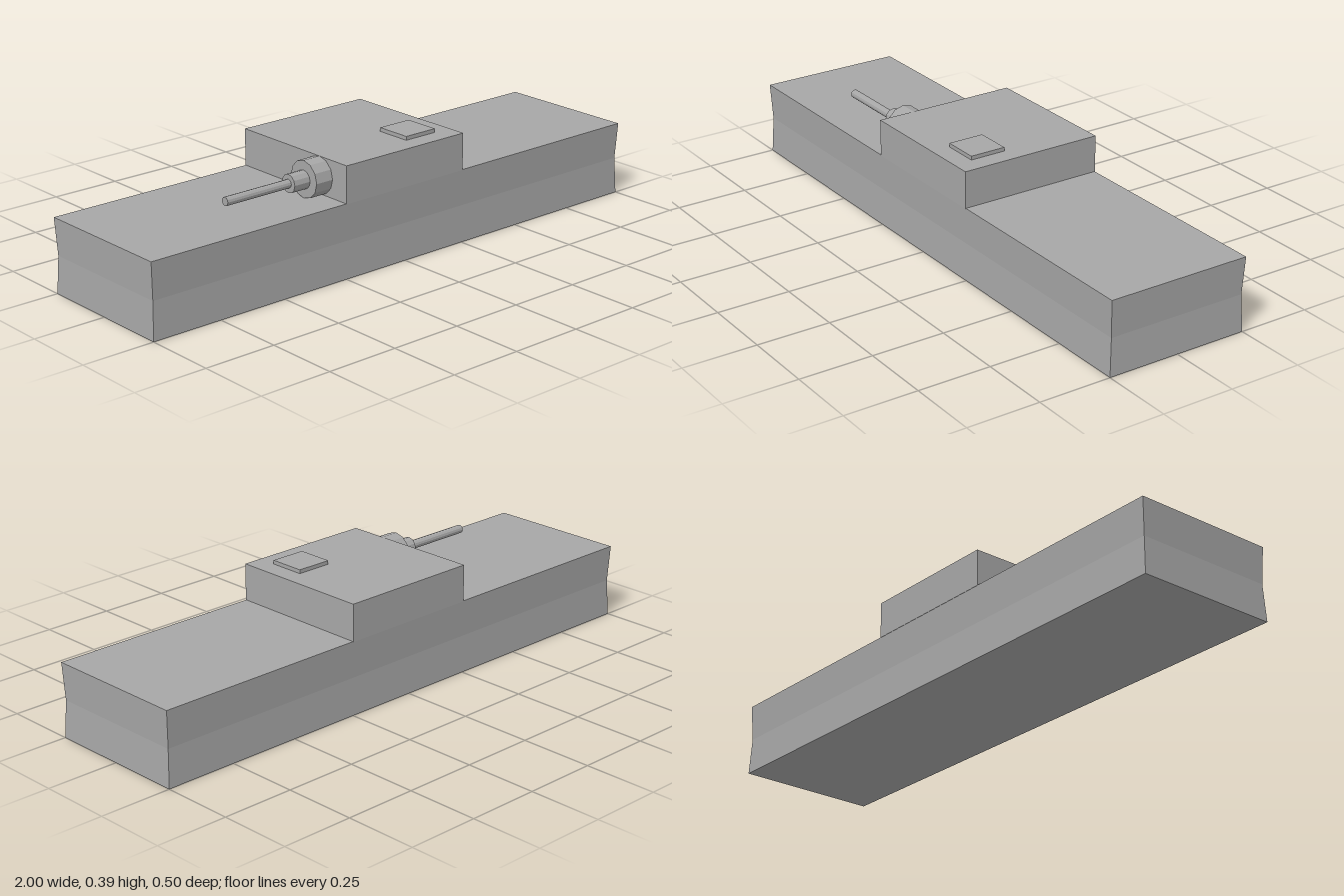
import * as THREE from 'three';

export function createModel() {
  const model = new THREE.Group();
  const grey = new THREE.MeshStandardMaterial({ color: 0xa6a6a6, flatShading: true });
  grey.name = 'plain grey';

  const add = (name, geometry, x, y, z) => {
    const mesh = new THREE.Mesh(geometry, grey);
    mesh.name = name;
    mesh.position.set(x, y, z);
    model.add(mesh);
    return mesh;
  };

  // Hull: a long block, pinched slightly in at mid height
  const hull = new THREE.BoxGeometry(2, 0.252, 0.5, 1, 2, 1);
  const p = hull.attributes.position;
  for (let i = 0; i < p.count; i++) {
    if (Math.abs(p.getY(i)) < 0.01) {
      p.setX(i, p.getX(i) - 0.006 * Math.sign(p.getX(i)));
      p.setZ(i, p.getZ(i) - 0.006 * Math.sign(p.getZ(i)));
    }
  }
  hull.computeVertexNormals();
  add('hull', hull, 0, 0.126, 0);

  // Turret block and its square hatch
  add('turret', new THREE.BoxGeometry(0.5, 0.126, 0.502), 0, 0.314, 0);
  add('hatch', new THREE.BoxGeometry(0.125, 0.013, 0.125), 0.123, 0.3835, 0.123);

  // Stepped gun pointing along -x
  const gun = [
    ['gunMount', 0.0625, -0.315, -0.25, 12],
    ['gunCollar', 0.031, -0.377, -0.315, 12],
    ['gunBarrel', 0.0145, -0.627, -0.377, 12],
  ];
  for (const [name, radius, x0, x1, sides] of gun) {
    const tube = new THREE.CylinderGeometry(radius, radius, x1 - x0, sides);
    tube.rotateZ(Math.PI / 2);
    add(name, tube, (x0 + x1) / 2, 0.3145, 0.122);
  }

  return model;
}
